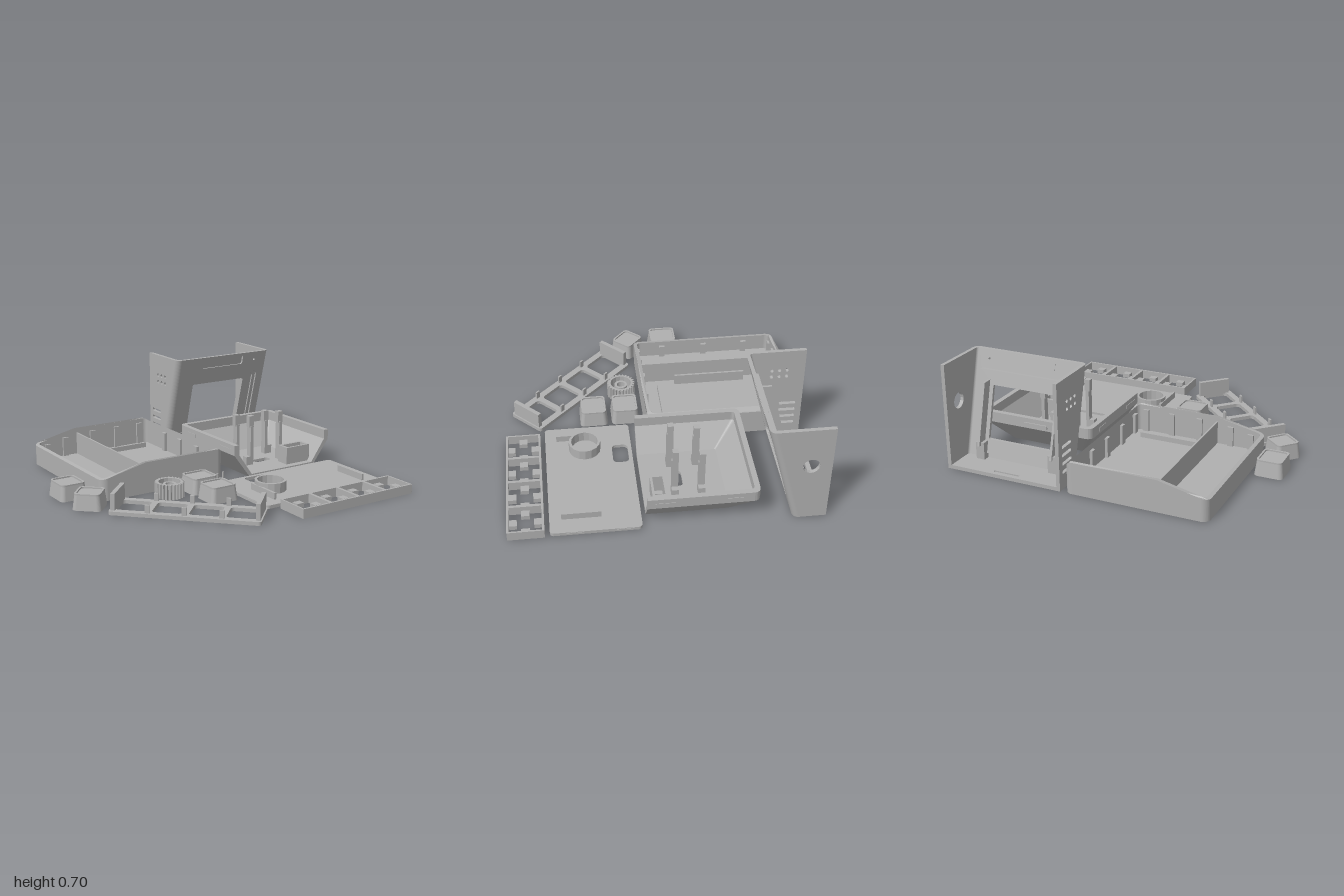
import * as THREE from 'three';

const plastic = new THREE.MeshStandardMaterial({ color: 0xb0b0b0 });
plastic.name = 'grey plastic';

function add(parent, name, geo) {
  const m = new THREE.Mesh(geo, plastic);
  m.name = name;
  parent.add(m);
  return m;
}
function sub(parent, name) {
  const g = new THREE.Group();
  g.name = name;
  parent.add(g);
  return g;
}
// Box given by its extents
function box(parent, name, x0, x1, y0, y1, z0, z1) {
  const g = new THREE.BoxGeometry(x1 - x0, y1 - y0, z1 - z0);
  g.translate((x0 + x1) / 2, (y0 + y1) / 2, (z0 + z1) / 2);
  return add(parent, name, g);
}
// Rounded rectangle outline
function rr(x0, y0, x1, y1, r = 0.001) {
  const s = new THREE.Shape();
  s.absarc(x1 - r, y0 + r, r, -Math.PI / 2, 0);
  s.absarc(x1 - r, y1 - r, r, 0, Math.PI / 2);
  s.absarc(x0 + r, y1 - r, r, Math.PI / 2, Math.PI);
  s.absarc(x0 + r, y0 + r, r, Math.PI, Math.PI * 1.5);
  s.closePath();
  return s;
}
const circle = (x, y, r) => new THREE.Shape().absarc(x, y, r, 0, Math.PI * 2);
function extrude(shape, holes, depth) {
  shape.holes.push(...holes);
  return new THREE.ExtrudeGeometry(shape, { depth, bevelEnabled: false, curveSegments: 8 });
}
// Plan shapes are drawn as (x, -z) and raised along y
const plan = (x0, z0, x1, z1, r) => rr(x0, -z1, x1, -z0, r);
const raise = (shape, holes, y0, y1) =>
  extrude(shape, holes, y1 - y0).rotateX(-Math.PI / 2).translate(0, y0, 0);
function reshape(geo, rule) {
  const p = geo.attributes.position, v = new THREE.Vector3();
  for (let i = 0; i < p.count; i++) {
    v.fromBufferAttribute(p, i);
    rule(v);
    p.setXYZ(i, v.x, v.y, v.z);
  }
  geo.computeVertexNormals();
  return geo;
}

// Open case with a sloped rim, divider and ribs
function buildCase(root) {
  const g = sub(root, 'openCase');
  const rim = (x) => x < -0.45 ? 0.21 + (x + 0.45) * 0.22 : 0.21 - 0.04 * Math.max(0, (x - 0.11) / 0.05) ** 2;
  const outline = (d, r) => {
    const s = new THREE.Shape(), x0 = -0.775 + d, x1 = 0.16 - d, z0 = 0.96 + 0.03 - d, z1 = -0.04 + d;
    s.absarc(x1 - r, z1 + r, r, -Math.PI / 2, 0);
    s.absarc(x1 - r, z0 - r, r, 0, Math.PI / 2);
    s.lineTo(-0.45, z0);
    s.absarc(x0 + r, z0 - r, r, Math.PI / 2, Math.PI);
    s.absarc(x0 + r, z1 + r, r, Math.PI, Math.PI * 1.5);
    s.lineTo(-0.45, z1);
    s.closePath();
    return s;
  };
  add(g, 'caseWall', reshape(raise(outline(0, 0.05), [outline(0.025, 0.028)], 0, 0.21),
    (v) => { if (v.y > 0.1) v.y = rim(v.x); }));
  add(g, 'caseFloor', raise(outline(0.002, 0.05), [], 0, 0.025));
  box(g, 'divider', -0.447, -0.435, 0.02, 0.18, -0.97, 0.02);
  box(g, 'longRail', -0.4, -0.385, 0.02, 0.1, -0.72, -0.22);
  for (const z of [-0.85, -0.105]) box(g, 'crossRail', -0.35, 0.06, 0.02, 0.06, z, z + 0.015);
  for (const x of [-0.68, -0.54, -0.32, -0.12, 0.07]) {
    box(g, 'caseRib', x - 0.02, x + 0.02, 0.02, rim(x) - 0.03, -0.967, -0.95);
    box(g, 'caseRib', x - 0.02, x + 0.02, 0.02, rim(x) - 0.03, 0, 0.017);
  }
  for (const z of [-0.78, -0.48, -0.17]) box(g, 'caseRib', -0.752, -0.73, 0.02, 0.11, z - 0.02, z + 0.02);
  for (const z of [-0.68, -0.47, -0.25, -0.05]) box(g, 'caseRib', 0.115, 0.137, 0.02, 0.16, z - 0.02, z + 0.02);
}

// Leaning screen housing, open at the top and back
function buildHousing(root) {
  const g = sub(root, 'screenHousing');
  const k = 0.265, zf = -0.778, t = 0.025, r = 0.04;
  const lean = (geo) => reshape(geo, (v) => { v.z += k * v.y; });
  add(g, 'frontPanel', lean(extrude(rr(0.19 + r, 0, 1 - r, 0.7),
    [rr(0.27, 0.09, 0.92, 0.55, 0.04), rr(0.41, 0.615, 0.77, 0.685, 0.015), circle(0.875, 0.64, 0.009)], t)
    .translate(0, 0, zf - t)));
  add(g, 'screenFrame', lean(extrude(rr(0.24, 0.06, 0.95, 0.58, 0.04), [rr(0.37, 0.15, 0.82, 0.49, 0.01)], 0.02)
    .translate(0, 0, zf - t - 0.02)));
  add(g, 'screenLip', lean(extrude(rr(0.27, 0.09, 0.92, 0.55, 0.04), [rr(0.295, 0.115, 0.895, 0.53, 0.03)], 0.012)
    .translate(0, 0, zf - t)));
  add(g, 'labelRecess', lean(extrude(rr(0.4, 0.61, 0.78, 0.69), [], 0.012).translate(0, 0, zf - t - 0.002)));
  // rounded front edges
  for (const [cx, a] of [[0.19 + r, Math.PI], [1 - r, Math.PI * 1.5]]) {
    const s = new THREE.Shape();
    const cy = -(zf - r);
    s.absarc(cx, cy, r, a, a + Math.PI / 2);
    s.absarc(cx, cy, r - t, a + Math.PI / 2, a, true);
    s.closePath();
    add(g, 'frontEdge', lean(raise(s, [], 0, 0.7)));
  }
  // side walls, drawn as (z, y)
  const side = (name, x1, holes) => {
    const s = new THREE.Shape([[-0.99, 0], [zf - r, 0], [zf - r + k * 0.7, 0.7], [-0.99, 0.7]]
      .map((p) => new THREE.Vector2(...p)));
    add(g, name, extrude(s, holes, t).rotateY(-Math.PI / 2).translate(x1, 0, 0));
  };
  side('leftWall', 1, [circle(-0.86, 0.42, 0.053)]);
  const vents = [];
  for (let i = 0; i < 4; i++) vents.push(rr(-0.95, 0.1 + i * 0.055, -0.835, 0.122 + i * 0.055, 0.01));
  for (let i = 0; i < 3; i++) for (let j = 0; j < 2; j++) vents.push(circle(-0.87 + i * 0.05, 0.5 + j * 0.05, 0.013));
  side('rightWall', 0.19 + t, vents);
  add(g, 'bottomWall', raise(plan(0.2, -0.99, 0.99, zf - 0.01, 0.01), [plan(0.5, -0.96, 0.68, -0.945, 0.005)], 0, t));
  for (const x of [0.33, 0.855]) {
    add(g, 'supportFin', lean(new THREE.BoxGeometry(0.016, 0.4, 0.07).translate(x, 0.32, zf - 0.075)));
    box(g, 'finFoot', x - 0.03, x + 0.03, 0.02, 0.14, zf - 0.06, zf - 0.01);
  }
}

// Funnel-shaped tray, open at the front
function buildHopper(root) {
  const g = sub(root, 'hopper');
  const loop = (x0, x1, zb, y, r) => {
    const pts = [[x0, 0.127]];
    for (const [cx, a] of [[x0 + r, Math.PI], [x1 - r, Math.PI / 2]]) {
      for (let i = 0; i <= 4; i++) {
        const b = a - (i / 4) * Math.PI / 2;
        pts.push([cx + r * Math.cos(b), zb + r - r * Math.sin(b)]);
      }
    }
    pts.push([x1, 0.127]);
    return pts.map(([x, z]) => [x, y, z]);
  };
  const L = [
    loop(0.32, 0.87, -0.415, 0, 0.02), loop(0.19, 1, -0.57, 0.17, 0.04), loop(0.19, 1, -0.57, 0.24, 0.04),
    loop(0.225, 0.965, -0.535, 0.24, 0.02), loop(0.225, 0.965, -0.535, 0.175, 0.02), loop(0.335, 0.855, -0.4, 0.02, 0.01)];
  const pos = [];
  const quad = (a, b, c, d) => pos.push(...a, ...b, ...c, ...a, ...c, ...d);
  const n = L[0].length - 1;
  for (let i = 0; i < 5; i++) for (let j = 0; j < n; j++) quad(L[i][j], L[i + 1][j], L[i + 1][j + 1], L[i][j + 1]);
  for (let i = 0; i < 2; i++) {
    quad(L[i][0], L[5 - i][0], L[4 - i][0], L[i + 1][0]);
    quad(L[i][n], L[i + 1][n], L[4 - i][n], L[5 - i][n]);
  }
  const geo = new THREE.BufferGeometry();
  geo.setAttribute('position', new THREE.Float32BufferAttribute(pos, 3));
  geo.computeVertexNormals();
  add(g, 'hopperWalls', geo);
  add(g, 'hopperFloor', raise(plan(0.322, -0.413, 0.868, 0.127, 0.01),
    [plan(0.52, -0.14, 0.66, -0.08, 0.025), plan(0.72, 0, 0.83, 0.06, 0.02)], 0, 0.02));
  add(g, 'socketBox', raise(plan(0.67, -0.02, 0.87, 0.08), [plan(0.69, 0, 0.85, 0.065)], 0.02, 0.14));
  // four hooked posts
  for (const m of [-1, 1]) {
    for (const [z, h] of [[-0.245, 0.34], [-0.075, 0.37]]) {
      const x = 0.59 + m * 0.15, c = x - m * 0.025;
      box(g, 'postFoot', x - 0.022, x + 0.022, 0.02, 0.08, z - 0.022, z + 0.022);
      box(g, 'post', c - 0.012, c + 0.012, 0.02, h - 0.07, z - 0.022, z + 0.022);
      box(g, 'postHook', c - 0.02, c + 0.02, h - 0.08, h, z - 0.022, z + 0.016);
    }
  }
  for (const x of [0.187, 0.995]) {
    box(g, 'sideClip', x, x + 0.008, 0.185, 0.21, -0.46, -0.36);
    box(g, 'sideClip', x, x + 0.008, 0.185, 0.21, -0.05, 0.08);
  }
  box(g, 'backClip', 0.51, 0.68, 0.185, 0.21, -0.578, -0.565);
}

// Flat base with ring and two low walls
function buildBase(root) {
  const g = sub(root, 'basePlate');
  add(g, 'plate', raise(plan(0.02, 0.155, 0.995, 0.725, 0.025), [plan(0.225, 0.18, 0.395, 0.285, 0.03)], 0, 0.022));
  add(g, 'ring', raise(circle(0.24, -0.465, 0.105), [circle(0.24, -0.465, 0.088)], 0.02, 0.09));
  for (const x of [0.14, 0.873]) box(g, 'lowWall', x - 0.008, x + 0.008, 0.02, 0.065, 0.4, 0.65);
  for (const x of [0.017, 0.99]) for (const z of [0.26, 0.57]) box(g, 'plateClip', x, x + 0.008, 0.006, 0.018, z - 0.055, z + 0.055);
}

// Four-cell switch grid with tabs
function buildGrid(root) {
  const g = sub(root, 'switchGrid');
  const cells = [0, 1, 2, 3].map((i) => 0.213 + i * 0.2245);
  add(g, 'gridWalls', raise(plan(0.1, 0.755, 1, 0.985),
    cells.map((x) => plan(x - 0.102, 0.769, x + 0.102, 0.971)), 0, 0.062));
  for (const x of cells) {
    for (const s of [-1, 1]) {
      box(g, 'gridTab', x - 0.027, x + 0.027, 0, 0.03, 0.87 + s * 0.078 - 0.025, 0.87 + s * 0.078 + 0.025);
      box(g, 'gridTab', x + s * 0.078 - 0.025, x + s * 0.078 + 0.025, 0, 0.03, 0.843, 0.897);
    }
  }
}

// Key frame lying at an angle
function buildKeyFrame(root) {
  const g = sub(root, 'keyFrame');
  g.position.set(-0.425, 0, 0.513);
  g.rotation.y = -Math.PI / 4;
  add(g, 'framePlate', raise(plan(-0.475, -0.138, 0.475, 0.138, 0.02),
    [-1.5, -0.5, 0.5, 1.5].map((i) => plan(i * 0.232 - 0.096, -0.092, i * 0.232 + 0.096, 0.092, 0.025)), 0, 0.024));
  for (const s of [-1, 1]) {
    box(g, 'endBracket', s * 0.452 - 0.014, s * 0.452 + 0.014, 0.02, 0.13, -0.115, 0.115);
    for (const i of [-1, 0, 1]) box(g, 'framePin', i * 0.232 - 0.015, i * 0.232 + 0.015, 0.02, 0.075, s * 0.117 - 0.006, s * 0.117 + 0.006);
  }
}

// Tapered keycap with a raised rim and dished top
function buildKey(root, x, z, w, d, turn) {
  const g = sub(root, 'keycap');
  g.position.set(x, 0, z);
  g.rotation.y = turn;
  add(g, 'keyBody', reshape(raise(plan(-w / 2, -d / 2, w / 2, d / 2, 0.03), [], 0, 0.096),
    (v) => { if (v.y > 0.05) { v.x *= 0.88; v.z *= 0.88; } }));
  const a = w * 0.44, b = d * 0.44;
  add(g, 'keyRim', raise(plan(-a, -b, a, b, 0.026), [plan(-a + 0.012, -b + 0.012, a - 0.012, b - 0.012, 0.02)], 0.094, 0.106));
}

// Ribbed knob with a D-shaped socket
function buildKnob(root) {
  const g = sub(root, 'knob');
  const s = new THREE.Shape(), teeth = 24;
  for (let i = 0; i < teeth * 4; i++) {
    const a = (i / (teeth * 4)) * Math.PI * 2, r = i % 4 < 2 ? 0.097 : 0.085;
    s[i ? 'lineTo' : 'moveTo'](-0.35 + r * Math.cos(a), -0.17 + r * Math.sin(a));
  }
  s.closePath();
  add(g, 'knobGrip', raise(s, [circle(-0.35, -0.17, 0.072)], 0, 0.1));
  add(g, 'knobFace', raise(circle(-0.35, -0.17, 0.075), [], 0.001, 0.025));
  const socket = new THREE.Shape().absarc(-0.35, -0.17, 0.028, 0.6, Math.PI * 2 - 0.6);
  add(g, 'knobSocket', raise(circle(-0.35, -0.17, 0.045), [socket], 0.02, 0.085));
}

export function createModel() {
  const root = new THREE.Group();
  root.name = 'enclosureKit';
  buildCase(root);
  buildHousing(root);
  buildHopper(root);
  buildBase(root);
  buildGrid(root);
  buildKeyFrame(root);
  buildKey(root, -0.9, -0.19, 0.19, 0.21, 0);
  buildKey(root, -0.878, 0.075, 0.18, 0.19, Math.PI / 4 + 0.05);
  buildKey(root, -0.118, 0.165, 0.205, 0.19, 0);
  buildKey(root, -0.118, 0.382, 0.205, 0.19, 0);
  buildKnob(root);
  // two small screws
  for (const [x, z] of [[0.08, 0.083], [0.133, 0.073]]) {
    add(root, 'screwHead', new THREE.CylinderGeometry(0.013, 0.013, 0.01, 16).translate(x, 0.005, z));
    add(root, 'screwShaft', new THREE.CylinderGeometry(0.006, 0.006, 0.05, 12).translate(x, 0.032, z));
  }
  return root;
}
